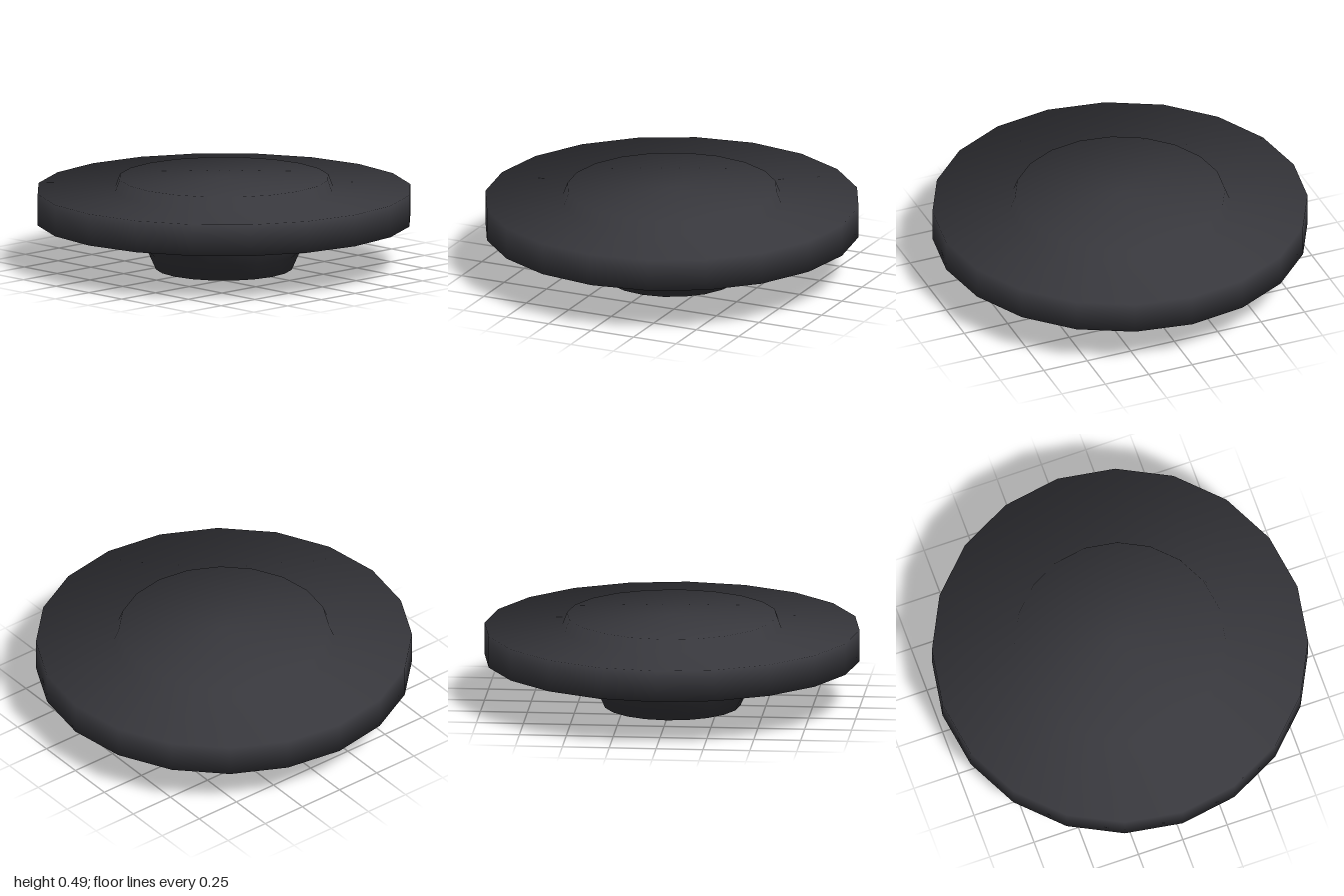
import * as THREE from 'three';

const SIDES = 20;

// Lathe whose shading normals average the two neighbouring bands equally.
function smoothLathe(profile) {
  const points = profile.map(([r, y]) => new THREE.Vector2(r, y));
  const geometry = new THREE.LatheGeometry(points, SIDES);
  const bands = points.slice(1).map((p, i) => {
    const d = p.clone().sub(points[i]).normalize();
    return new THREE.Vector2(d.y, -d.x);
  });
  const normals = points.map((p, j) => {
    if (j === 0) return bands[0];
    if (j === bands.length) return bands[j - 1];
    return bands[j - 1].clone().add(bands[j]).normalize();
  });
  const attribute = geometry.attributes.normal;
  for (let i = 0; i <= SIDES; i++) {
    const a = (i / SIDES) * Math.PI * 2;
    normals.forEach((n, j) => {
      attribute.setXYZ(i * points.length + j, n.x * Math.sin(a), n.y, n.x * Math.cos(a));
    });
  }
  return geometry;
}

export function createModel() {
  const model = new THREE.Group();
  model.name = 'flangedDisc';

  const charcoal = new THREE.MeshStandardMaterial({ color: 0x37373c });
  charcoal.name = 'charcoal';

  // One continuous body: foot, flared bowl, wide flange and raised cap
  const body = new THREE.Mesh(smoothLathe([
    [0, 0], [0.365, 0], [0.405, 0.09],
    [0.572, 0.225], [0.572, 0.255],
    [1, 0.255], [1, 0.425],
    [0.585, 0.425], [0.56, 0.49], [0, 0.49],
  ]), charcoal);
  body.name = 'discBody';
  model.add(body);

  return model;
}
